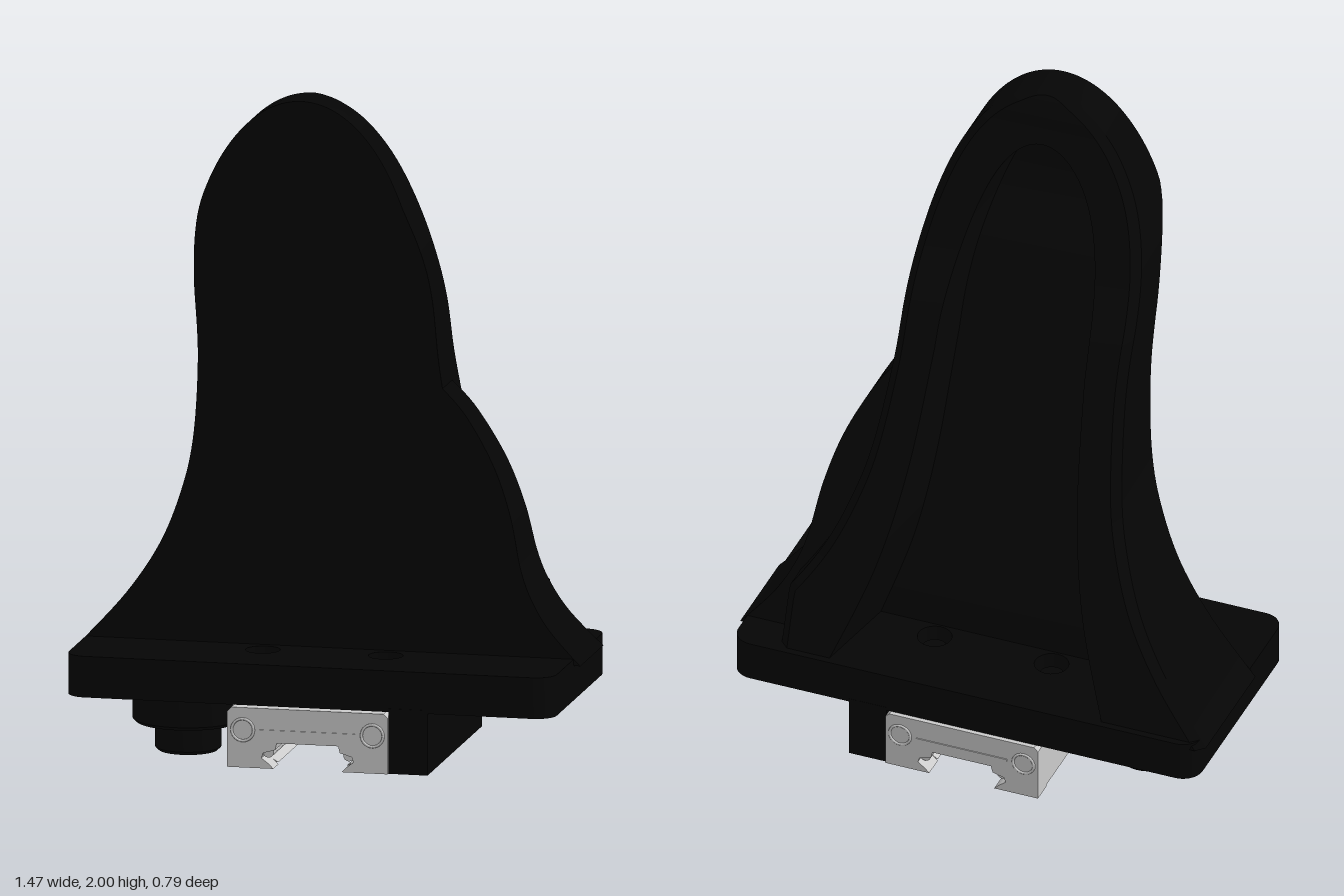
import * as THREE from 'three';
import { toCreasedNormals } from 'three/addons/utils/BufferGeometryUtils.js';

const black = new THREE.MeshStandardMaterial({ color: 0x050505 });
const grey = new THREE.MeshStandardMaterial({ color: 0xcccccc });

// Smooth value-by-height lookup through [y, value] points
function byHeight(...pairs) {
  const pts = new THREE.SplineCurve(pairs.map(p => new THREE.Vector2(...p))).getPoints(240);
  return y => {
    let i = 1;
    while (i < pts.length - 1 && pts[i].x < y) i++;
    const a = pts[i - 1], b = pts[i];
    return THREE.MathUtils.lerp(a.y, b.y, THREE.MathUtils.clamp((y - a.x) / (b.x - a.x || 1), 0, 1));
  };
}

const frontZ = byHeight([0.3, 0.028], [0.6, 0.063], [0.8, 0.09], [1, 0.125], [1.14, 0.158], [1.3, 0.203],
  [1.4, 0.238], [1.5, 0.282], [1.6, 0.338], [1.67, 0.376], [1.74, 0.39], [2, 0.39]);
const backZ = byHeight([0.3, -0.378], [0.6, -0.268], [0.9, -0.158], [1.2, -0.048], [1.33, 0.004], [1.42, 0.055],
  [1.55, 0.128], [1.7, 0.19], [1.85, 0.226], [1.97, 0.246], [2, 0.262]);
const flare = byHeight([0.3, 0.745], [0.33, 0.715], [0.47, 0.59], [0.62, 0.49], [0.78, 0.423], [0.94, 0.382],
  [1.18, 0.355], [1.35, 0.35]);
const lobeX = byHeight([0.3, 0.745], [0.33, 0.715], [0.42, 0.64], [0.51, 0.592], [0.6, 0.565], [0.75, 0.541],
  [0.9, 0.497], [1.05, 0.422], [1.14, 0.35]);
const recessFlare = byHeight([0.3, 0.43], [0.6, 0.32], [0.9, 0.26], [1.25, 0.23]);

const ellipse = (y, y0, a, b) => a * Math.sqrt(Math.max(0, 1 - ((y - y0) / b) ** 2));
const leftEdge = y => (y > 1.35 ? ellipse(y, 1.35, 0.35, 0.65) : flare(y));
const rightEdge = y => (y > 1.35 ? leftEdge(y) : Math.min(flare(y), 0.575));
const recessEdge = y => (y > 1.25 ? ellipse(y, 1.25, 0.23, 0.6) : recessFlare(y));

// Skin a stack of closed [x, z] sections
function loft(ys, section) {
  const pos = [], idx = [];
  let n = 0;
  ys.forEach((y, r) => {
    const s = section(y);
    n = s.length;
    s.forEach(([x, z]) => pos.push(x, y, z));
    if (r === 0) return;
    for (let i = 0; i < n; i++) {
      const a = (r - 1) * n + i, b = (r - 1) * n + (i + 1) % n;
      idx.push(a, b, b + n, a, b + n, a + n);
    }
  });
  const g = new THREE.BufferGeometry();
  g.setAttribute('position', new THREE.Float32BufferAttribute(pos, 3));
  g.setIndex(idx);
  return toCreasedNormals(g, 0.5);
}

// Upright fin section: flat front, bevelled back rim, sunken back panel
function finSection(y) {
  const l = -leftEdge(y), r = rightEdge(y), f = frontZ(y), b = backZ(y);
  const c = Math.min(0.025, r * 0.25), w = recessEdge(y), v = w * 0.88;
  const p = w > 0 ? f - THREE.MathUtils.mapLinear(y, 0.33, 1.85, 0.13, 0.075) : b;
  return [[l, f], [r, f], [r, b + c], [r - c, b], [w, b], [v, p], [-v, p], [-w, b], [l + c, b], [l, b + c]];
}

// Shallower side lobe beside the fin
function lobeSection(y) {
  const x0 = Math.min(rightEdge(y), lobeX(y)) - 0.03, x1 = lobeX(y), f = frontZ(y);
  const b = THREE.MathUtils.mapLinear(y, 0.33, 1.14, -0.26, 0.035);
  return [[x0, f], [x1, f], [x1, b], [x0, b]];
}

function roundedPlate(x0, x1, z0, z1, r) {
  const s = new THREE.Shape();
  s.moveTo(x0 + r, z0);
  s.lineTo(x1 - r, z0).absarc(x1 - r, z0 + r, r, -Math.PI / 2, 0);
  s.lineTo(x1, z1 - r).absarc(x1 - r, z1 - r, r, 0, Math.PI / 2);
  s.lineTo(x0 + r, z1).absarc(x0 + r, z1 - r, r, Math.PI / 2, Math.PI);
  s.lineTo(x0, z0 + r).absarc(x0 + r, z0 + r, r, Math.PI, Math.PI * 1.5);
  return s;
}

// Carriage cross-section with the undercut channel for a rail
function carriageShape(w, top, bottom) {
  const half = [[0.1, bottom], [0.115, 0.045], [0.135, 0.06], [0.13, 0.075], [0.095, 0.085], [0.09, 0.105]];
  const right = [[w - 0.012, top], [w, top - 0.012], [w, bottom], ...half];
  const left = right.map(([x, y]) => [-x, y]).reverse();
  return new THREE.Shape([...right, ...left].map(p => new THREE.Vector2(...p)));
}

export function createModel() {
  const model = new THREE.Group();
  const add = (name, geometry, material, x = 0, y = 0, z = 0, parent = model) => {
    const m = new THREE.Mesh(geometry, material);
    m.name = name;
    m.position.set(x, y, z);
    parent.add(m);
    return m;
  };
  const creased = g => toCreasedNormals(g, 0.5);

  // Fin and lobe
  const ys = [];
  for (let i = 0; i <= 40; i++) ys.push(0.31 + 1.04 * i / 40);
  for (let i = 1; i <= 36; i++) ys.push(1.35 + 0.65 * Math.sin(i / 36 * Math.PI / 2));
  for (let i = 1; i <= 8; i++) ys.push(1.85 - 0.04 * (1 - i / 8) ** 2);
  ys.sort((a, b) => a - b);
  add('fin', loft(ys, finSection), black);
  add('sideLobe', loft(Array.from({ length: 41 }, (_, i) => 0.31 + 0.83 * i / 40), lobeSection), black);

  // Base plate with screw holes
  const plate = roundedPlate(-0.715, 0.715, -0.305, 0.388, 0.06);
  const screws = [[-0.18, -0.155], [0.18, -0.155], [-0.18, 0.1], [0.18, 0.1]];
  for (const [x, z] of screws) {
    plate.holes.push(new THREE.Path().absarc(x, -z, 0.05, 0, Math.PI * 2, true));
  }
  const plateGeo = new THREE.ExtrudeGeometry(plate, { depth: 0.12, bevelEnabled: false, curveSegments: 10 });
  plateGeo.rotateX(-Math.PI / 2);
  add('basePlate', creased(plateGeo), black, 0, 0.21, 0);
  for (const [x, z] of screws) {
    add('screw', new THREE.CylinderGeometry(0.05, 0.05, 0.06, 20), black, x, 0.24, z);
    add('screwHead', new THREE.CylinderGeometry(0.035, 0.035, 0.03, 20), black, x, 0.28, z);
  }

  // Side block and stepped round foot under the plate
  add('sideBlock', new THREE.BoxGeometry(0.115, 0.19, 0.695), black, 0.2925, 0.125, -0.041);
  const foot = [[0, 0.03], [0.05, 0.03], [0.05, 0], [0.085, 0], [0.095, 0.01], [0.095, 0.085],
    [0.15, 0.085], [0.16, 0.095], [0.16, 0.215]].map(p => new THREE.Vector2(...p));
  add('foot', creased(new THREE.LatheGeometry(foot, 40)), black, -0.43, 0, -0.035);

  // Linear carriage: body, end caps, ball retainers
  const carriage = new THREE.Group();
  carriage.name = 'carriage';
  model.add(carriage);
  const slab = (w, top, bottom, depth) => new THREE.ExtrudeGeometry(carriageShape(w, top, bottom),
    { depth, bevelEnabled: false });
  add('carriageBody', slab(0.235, 0.21, 0.036, 0.58), grey, 0, 0, -0.33, carriage);
  for (const s of [-1, 1]) {
    const cap = add('endCap', slab(0.235, 0.205, 0.03, 0.065), grey, 0, 0, s > 0 ? 0.25 : -0.395, carriage);
    const face = s > 0 ? 0.065 : 0;
    for (const x of [-0.19, 0.19]) {
      add('capScrew', new THREE.TorusGeometry(0.032, 0.004, 8, 28), grey, x, 0.14, face, cap);
    }
    const trim = new THREE.BoxGeometry(0.28, 0.006, 0.006);
    add('capTrim', trim, grey, 0, 0.14, face, cap);
  }
  for (const x of [-0.118, 0.118]) {
    const rod = new THREE.CylinderGeometry(0.016, 0.016, 0.68, 14).rotateX(Math.PI / 2);
    add('ballRetainer', rod, grey, x, 0.075, -0.04, carriage);
  }

  return model;
}
